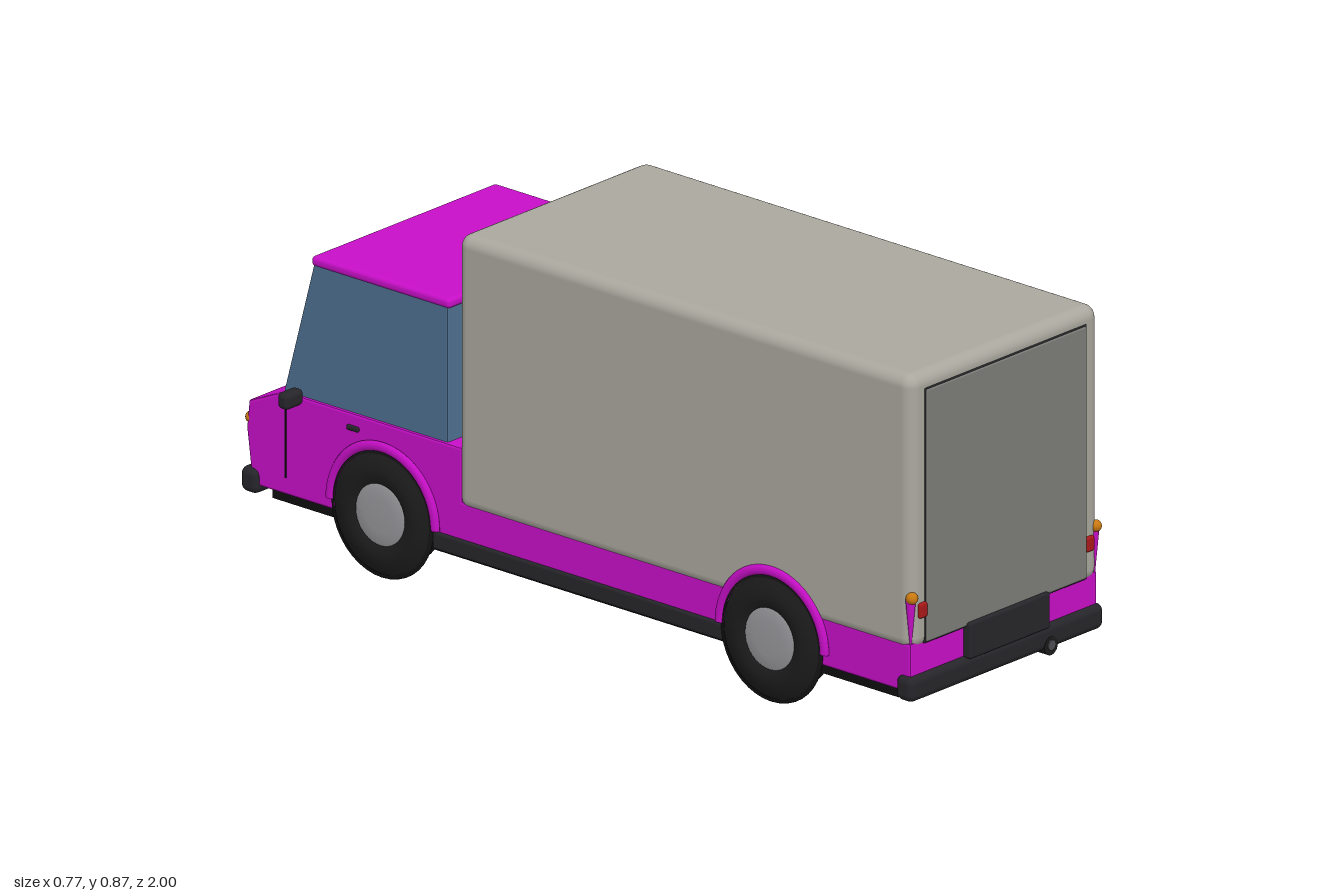
import * as THREE from 'three';
import { RoundedBoxGeometry } from 'three/addons/geometries/RoundedBoxGeometry.js';

const paint = (color, side = THREE.FrontSide) => new THREE.MeshStandardMaterial({ color, side });
const MAGENTA = paint(0xc80fc8);
const CARGO = paint(0xaaa89e);
const DOOR = paint(0x7c7c78);
const GLASS = paint(0x4f7090);
const BLACK = paint(0x0e0e0f);
const RUBBER = paint(0x1c1c1d);
const PLASTIC = paint(0x26262a);
const HUB = paint(0x98989c);
const AMBER = paint(0xc87810);
const RED = paint(0xa81818);
const LAMP = paint(0xc8c4a8);

export function createModel() {
  const truck = new THREE.Group();
  truck.name = 'boxTruck';

  function add(name, geometry, material, x = 0, y = 0, z = 0, parent = truck) {
    const mesh = new THREE.Mesh(geometry, material);
    mesh.name = name;
    mesh.position.set(x, y, z);
    parent.add(mesh);
    return mesh;
  }

  // Box given by its limits, rounded when r > 0
  function block(name, material, [x0, x1], [y0, y1], [z0, z1], r = 0) {
    const size = [x1 - x0, y1 - y0, z1 - z0];
    const g = r ? new RoundedBoxGeometry(...size, 3, r) : new THREE.BoxGeometry(...size);
    return add(name, g, material, (x0 + x1) / 2, (y0 + y1) / 2, (z0 + z1) / 2);
  }

  // Side profile of [z, y] points extruded across the width
  function sideProfile(name, points, halfWidth, material, bevel) {
    const shape = new THREE.Shape(points.map(([z, y]) => new THREE.Vector2(z, y)));
    const depth = 2 * (halfWidth - bevel);
    const g = new THREE.ExtrudeGeometry(shape, {
      depth, bevelEnabled: true, bevelThickness: bevel, bevelSize: bevel,
      bevelOffset: -bevel, bevelSegments: 2,
    });
    g.translate(0, 0, -depth / 2);
    g.rotateY(-Math.PI / 2);
    return add(name, g, material);
  }

  // Lower body with sloping bonnet
  sideProfile('lowerBody', [
    [0.98, 0.12], [0.98, 0.235], [-0.345, 0.235], [-0.345, 0.362], [-0.87, 0.362],
    [-0.975, 0.315], [-0.982, 0.25], [-0.965, 0.12],
  ], 0.308, MAGENTA, 0.006);

  // Cab glasshouse and roof
  sideProfile('cabGlass', [
    [-0.392, 0.355], [-0.392, 0.682], [-0.788, 0.682], [-0.875, 0.365], [-0.875, 0.355],
  ], 0.302, GLASS, 0.004);
  block('cabRoof', MAGENTA, [-0.305, 0.305], [0.676, 0.7], [-0.795, -0.386], 0.01);

  // Cargo box and rear door
  block('cargoBox', CARGO, [-0.312, 0.312], [0.216, 0.865], [-0.358, 0.985], 0.03);
  block('rearDoorSeal', PLASTIC, [-0.268, 0.268], [0.228, 0.83], [0.97, 0.987], 0.004);
  block('rearDoor', DOOR, [-0.264, 0.264], [0.232, 0.826], [0.97, 0.99], 0.004);

  // Chassis, sills and underside parts
  block('chassis', BLACK, [-0.302, 0.302], [0.1, 0.13], [-0.91, 0.94]);
  block('fuelTank', RUBBER, [-0.09, 0.09], [0.087, 0.11], [0.04, 0.19], 0.005);
  block('gearbox', RUBBER, [-0.15, -0.03], [0.092, 0.11], [0.32, 0.44], 0.004);
  block('engineTray', RUBBER, [0.0, 0.15], [0.094, 0.11], [-0.42, -0.3], 0.004);

  // Bumpers and plates at both ends
  for (const [end, s] of [['rear', 1], ['front', -1]]) {
    const span = (a, b) => (s > 0 ? [a, b] : [-b, -a]);
    block(end + 'Bumper', PLASTIC, [-0.32, 0.32], [0.1, 0.16], span(0.942, 0.994), 0.018);
    block(end + 'Plate', PLASTIC, [-0.133, 0.133], [0.155, 0.24], span(0.97, 1), 0.006);
  }

  // Exhaust tailpipe
  const pipe = new THREE.CylinderGeometry(0.022, 0.022, 0.14, 20).rotateX(Math.PI / 2);
  add('exhaustPipe', pipe, RUBBER, 0.14, 0.11, 0.925);
  const tip = new THREE.CylinderGeometry(0.012, 0.012, 0.04, 20).rotateX(Math.PI / 2);
  add('exhaustTip', tip, paint(0x505054), 0.14, 0.112, 0.978);

  // Wheel parts are turned about the x axis, outer side toward +x
  const lathe = (pts) => new THREE.LatheGeometry(
    pts.map(([r, x]) => new THREE.Vector2(r, x)), 40).rotateZ(-Math.PI / 2);
  const tread = lathe([[0, -0.069], [0.115, -0.069], [0.125, -0.062], [0.125, 0]]);
  const flange = lathe([[0.12, -0.006], [0.147, -0.006], [0.15, -0.003], [0.149, 0.001], [0.14, 0.002]]);
  const sidewall = lathe([[0.14, 0.001], [0.122, 0.009], [0.105, 0.013], [0.09, 0.013], [0.074, 0.008], [0.07, 0.004]]);
  const hub = lathe([[0.074, 0.004], [0.07, 0.009], [0.04, 0.011], [0, 0.011]]);
  const arch = new THREE.TorusGeometry(0.152, 0.012, 8, 32, Math.PI)
    .rotateY(Math.PI / 2).scale(0.75, 1.03, 1.02);
  for (const m of [tread, flange, sidewall, hub]) m.computeVertexNormals();
  const RUBBER2 = paint(0x1c1c1d, THREE.DoubleSide);
  const HUB2 = paint(HUB.color, THREE.DoubleSide);

  for (const s of [1, -1]) {
    const side = s > 0 ? 'left' : 'right';
    for (const [end, z] of [['rear', 0.575], ['front', -0.575]]) {
      const wheel = new THREE.Group();
      wheel.name = `${side}${end}Wheel`;
      wheel.position.set(s * 0.314, 0.15, z);
      wheel.rotation.y = s > 0 ? 0 : Math.PI;
      truck.add(wheel);
      add('tread', tread, RUBBER2, 0, 0, 0, wheel);
      add('flange', flange, paint(0x141415, THREE.DoubleSide), 0, 0, 0, wheel);
      add('sidewall', sidewall, RUBBER2, 0, 0, 0, wheel);
      add('hub', hub, HUB2, 0, 0, 0, wheel);
      add(`${side}${end}WheelArch`, arch, MAGENTA, s * 0.312, 0.15, z);
    }
    const across = (a, b) => (s > 0 ? [a, b] : [-b, -a]);

    // Sill, door seam, handle and mirror
    block(side + 'Sill', PLASTIC, across(0.28, 0.314), [0.105, 0.148], [-0.43, 0.43], 0.008);
    block(side + 'DoorSeam', BLACK, across(0.3, 0.3095), [0.16, 0.352], [-0.868, -0.863]);
    block(side + 'DoorHandle', PLASTIC, across(0.3, 0.314), [0.322, 0.334], [-0.683, -0.648], 0.004);
    block(side + 'Mirror', PLASTIC, across(0.328, 0.387), [0.356, 0.395], [-0.823, -0.791], 0.012);

    // Rear lamps on tapered corner mounts
    const mount = new THREE.ConeGeometry(0.012, 0.13, 12).rotateX(Math.PI);
    add(side + 'LampMount', mount, MAGENTA, s * 0.303, 0.275, 0.976);
    add(side + 'RearIndicator', new THREE.SphereGeometry(0.014, 20, 14), AMBER, s * 0.303, 0.343, 0.98);
    block(side + 'TailLamp', RED, across(0.263, 0.288), [0.292, 0.328], [0.965, 0.993], 0.006);

    // Headlamps and front indicators
    const lamp = new THREE.SphereGeometry(0.032, 24, 16).scale(1, 1, 0.45);
    add(side + 'Headlamp', lamp, LAMP, s * 0.215, 0.275, -0.98);
    add(side + 'FrontIndicator', new THREE.SphereGeometry(0.014, 20, 14), AMBER, s * 0.295, 0.272, -0.978);
  }
  return truck;
}
